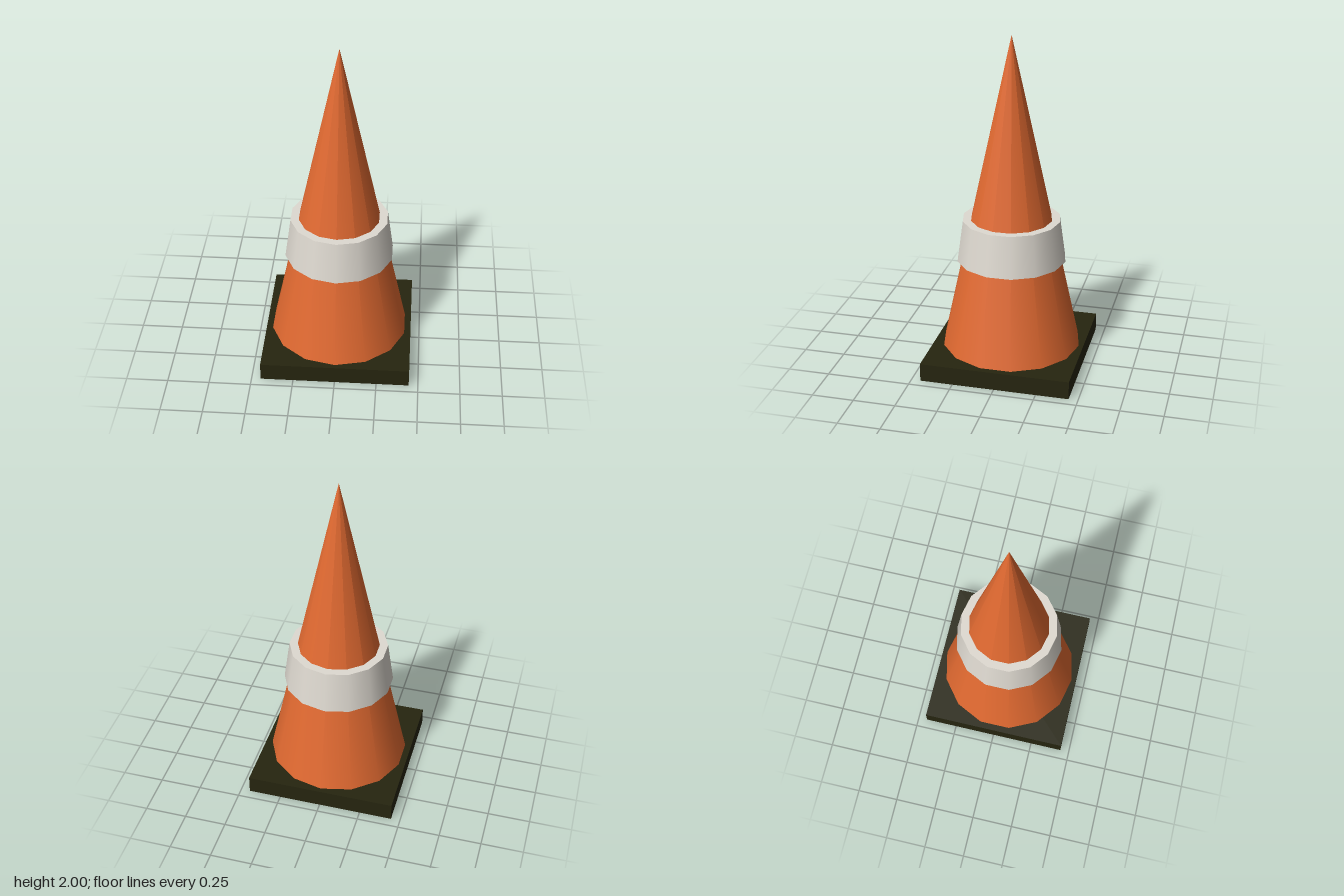
import * as THREE from 'three';

const SIDES = 14;

function material(name, color) {
  const m = new THREE.MeshStandardMaterial({ color });
  m.name = name;
  return m;
}

export function createModel() {
  const group = new THREE.Group();
  group.name = 'trafficCone';

  const orange = material('orange', 0xe26a31);
  const offWhite = material('offWhite', 0xdfdad1);
  const darkRubber = material('darkRubber', 0x26250f);

  // adds a part standing with its underside at the given height
  const add = (name, geometry, mat, bottom, height) => {
    const mesh = new THREE.Mesh(geometry, mat);
    mesh.name = name;
    mesh.position.y = bottom + height / 2;
    group.add(mesh);
  };

  // square foot
  add('base', new THREE.BoxGeometry(0.89, 0.11, 0.89), darkRubber, 0, 0.11);

  // pointed body
  add('cone', new THREE.ConeGeometry(0.417, 1.89, SIDES), orange, 0.11, 1.89);

  // thick tapered band around the body
  add('reflectiveBand', new THREE.CylinderGeometry(0.291, 0.326, 0.25, SIDES), offWhite, 0.655, 0.25);

  return group;
}
